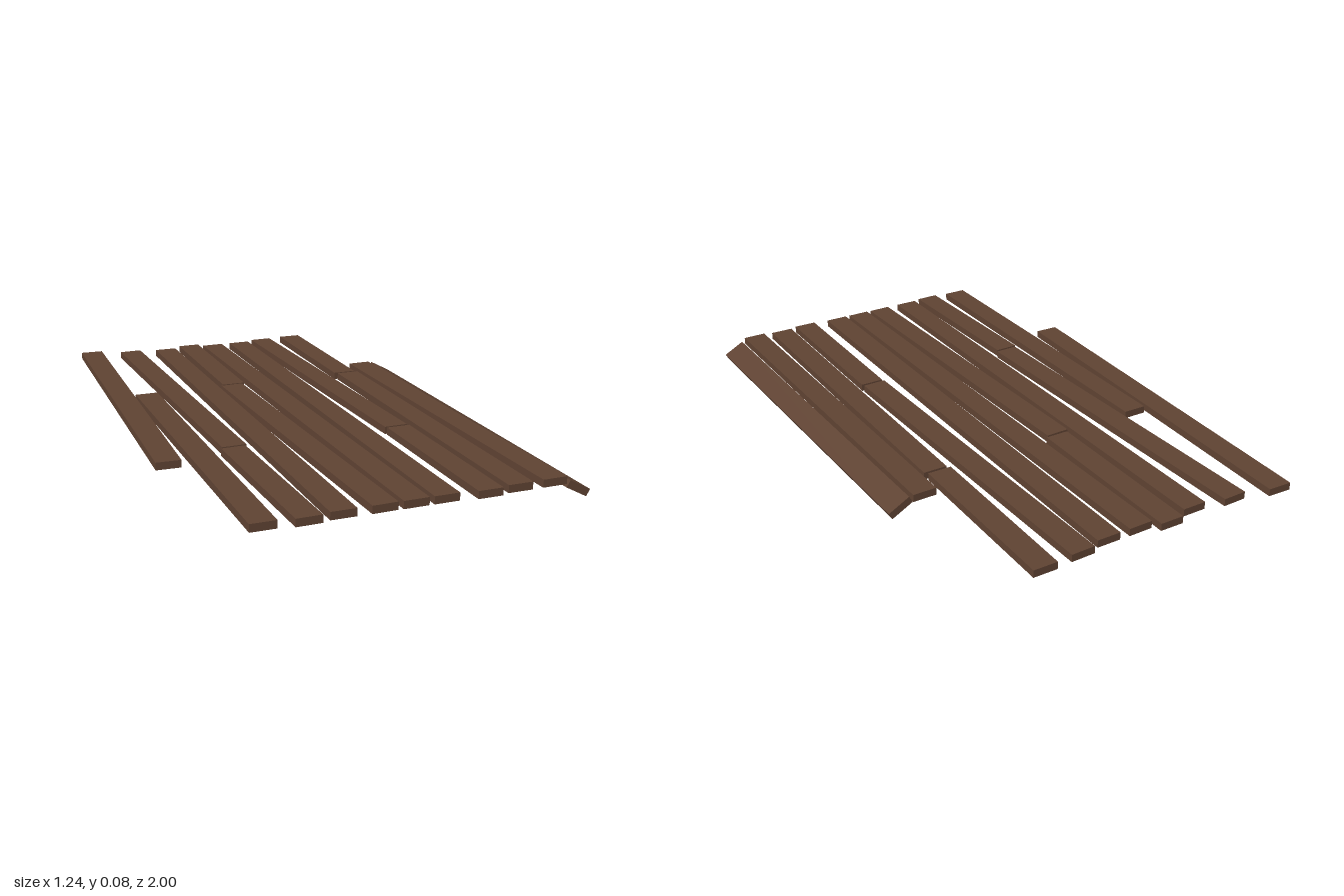
import * as THREE from 'three';

const WIDTH = 0.085, THICK = 0.026;

export function createModel() {
  const group = new THREE.Group();
  group.name = 'plankFloor';
  const wood = new THREE.MeshStandardMaterial({ color: 0x5e4232, flatShading: true });

  // One board laid from a back point to a front point, with optional roll
  function plank(name, back, front, roll = 0) {
    const a = new THREE.Vector3(...back), b = new THREE.Vector3(...front);
    const d = b.clone().sub(a);
    const mesh = new THREE.Mesh(new THREE.BoxGeometry(WIDTH, THICK, d.length()), wood);
    mesh.name = name;
    mesh.position.copy(a).add(b).multiplyScalar(0.5);
    mesh.rotation.order = 'YXZ';
    mesh.rotation.set(-Math.atan2(d.y, Math.hypot(d.x, d.z)), Math.atan2(d.x, d.z), roll);
    group.add(mesh);
  }

  // Flat boards: back x, back z, front x, front z, height of centre
  const low = 0.064, high = 0.067;
  [
    [-0.53, -1.0, -0.58, 0.425, high],
    [-0.46, -0.33, -0.46, 0.985, low],
    [-0.37, -0.965, -0.335, 0.35, low],
    [-0.342, 0.36, -0.325, 0.995, low],
    [-0.22, -0.945, -0.215, 0.985, low],
    [-0.108, -0.973, -0.11, -0.34, low],
    [-0.12, -0.33, -0.083, 0.985, low],
    [-0.008, -0.945, 0.018, 0.985, low],
    [0.113, -0.945, 0.119, 0.985, low],
    [0.222, -0.965, 0.257, 0.35, low],
    [0.261, 0.36, 0.261, 0.995, low],
    [0.362, -0.973, 0.36, -0.34, low],
    [0.37, -0.33, 0.37, 0.985, low],
    [0.468, -0.437, 0.488, 0.99, high],
  ].forEach(([x0, z0, x1, z1, y], i) => plank(`plank${i + 1}`, [x0, y, z0], [x1, y, z1]));

  // Loose board slumped off the left edge
  plank('fallenPlank', [0.556, 0.046, -0.437], [0.574, 0.034, 0.99], -0.49);

  return group;
}
